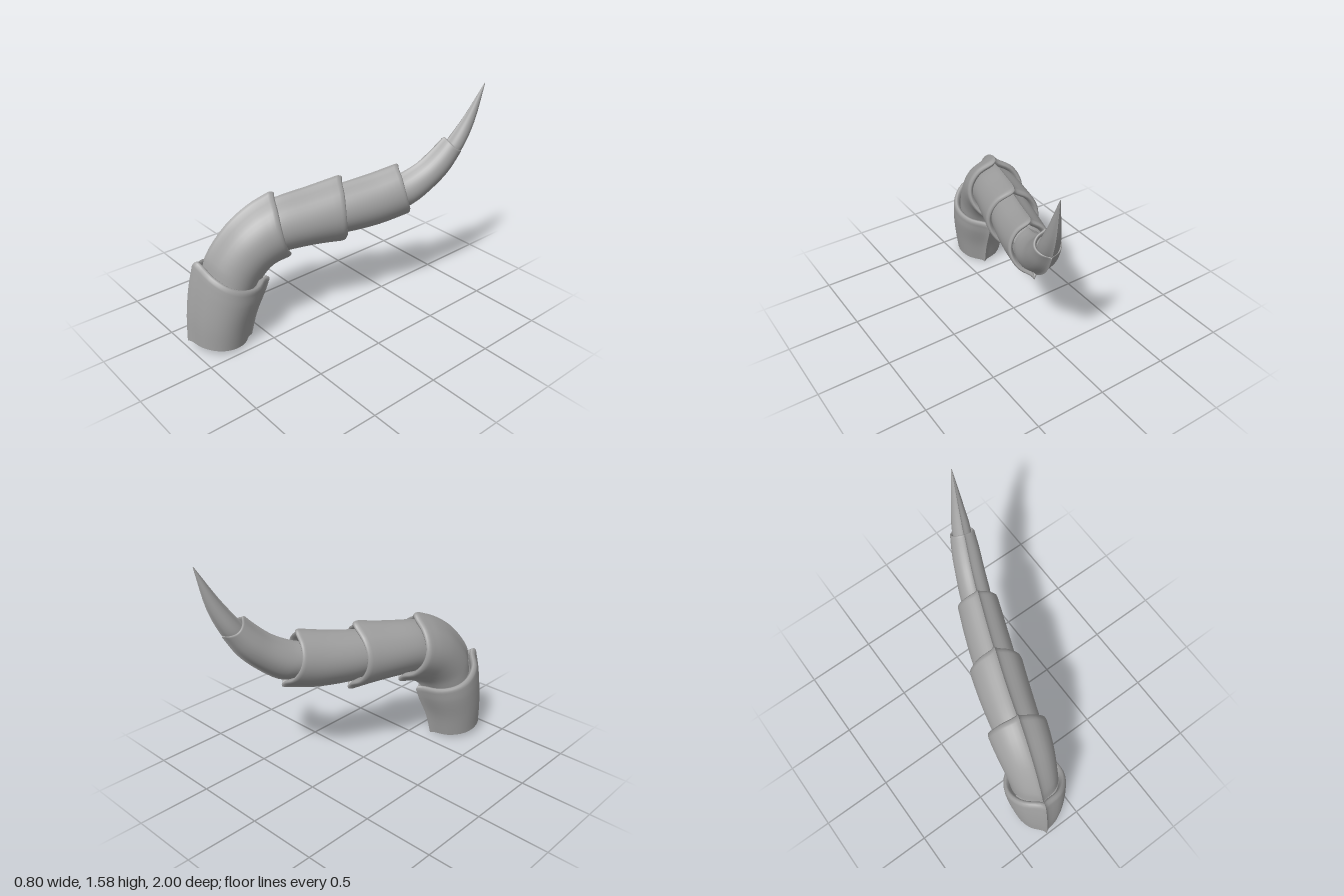
import * as THREE from 'three';

// Horizontal directions: the horn runs in a slanted vertical plane
const SLOPE = -0.355;
const LATERAL = new THREE.Vector3(0.942, 0, 0.335);

// Half cross-section (side, up): sharp keel at top and bottom, rounded flank
const flank = new THREE.SplineCurve([
  [0, 1], [0.13, 0.88], [0.6, 0.66], [0.9, 0.34], [1, 0],
  [0.9, -0.34], [0.6, -0.66], [0.13, -0.88], [0, -1],
].map(([s, u]) => new THREE.Vector2(s, u))).getPoints(24);
const otherFlank = flank.map((p) => new THREE.Vector2(-p.x, p.y)).reverse();

// Each ring: z and y of the upper keel, z and y of the lower keel, half width
const SEGMENTS = [
  { name: 'baseSegment', rings: [
    [1, 0.06, 0.59, 0, 0.165], [0.99, 0.25, 0.545, 0.17, 0.19],
    [0.96, 0.46, 0.48, 0.32, 0.21], [0.925, 0.61, 0.455, 0.385, 0.213]] },
  { name: 'bendSegment', rings: [
    [0.87, 0.55, 0.53, 0.36, 0.165], [0.84, 0.66, 0.47, 0.45, 0.17],
    [0.7, 0.85, 0.41, 0.495, 0.185], [0.55, 0.965, 0.36, 0.51, 0.195],
    [0.42, 1.025, 0.31, 0.52, 0.2]] },
  { name: 'middleSegment', rings: [
    [0.46, 0.95, 0.36, 0.57, 0.16], [0.38, 0.98, 0.28, 0.575, 0.165],
    [0.16, 1.02, 0.1, 0.575, 0.175], [-0.03, 1.06, -0.07, 0.565, 0.18]] },
  { name: 'upperSegment', rings: [
    [0.02, 0.99, 0, 0.63, 0.14], [-0.07, 1.005, -0.1, 0.625, 0.145],
    [-0.25, 1.04, -0.33, 0.645, 0.145], [-0.41, 1.08, -0.52, 0.69, 0.14]] },
  { name: 'neckSegment', rings: [
    [-0.38, 0.985, -0.46, 0.73, 0.1], [-0.46, 1.01, -0.56, 0.76, 0.105],
    [-0.58, 1.075, -0.7, 0.87, 0.1], [-0.67, 1.155, -0.8, 0.98, 0.095],
    [-0.735, 1.225, -0.875, 1.11, 0.083]] },
  { name: 'tipSpike', tip: true, rings: [
    [-0.72, 1.14, -0.85, 1.08, 0.06], [-0.77, 1.21, -0.89, 1.15, 0.062],
    [-0.87, 1.36, -0.95, 1.31, 0.04], [-0.995, 1.58, -1, 1.578, 0.002]] },
];

// Rounded lip that curls inwards: forward offset and scale
const LIP = [[0.05, 0.995], [0.11, 0.97], [0.14, 0.92], [0.12, 0.86], [0.04, 0.8], [-0.15, 0.72]];

// Frame of a ring from its keel points
function makeRing(top, bottom, bow, forward = 0, scale = 1) {
  const zc = (top.x + bottom.x) / 2;
  const dz = (top.x - bottom.x) / 2;
  const dy = (top.y - bottom.y) / 2;
  const half = Math.hypot(dz, dy);
  const xc = 0.015 + SLOPE * zc + (zc > 0 ? 0.1 : 0.03) * zc * zc;
  const up = new THREE.Vector3(SLOPE * dz, dy, dz);
  const ahead = new THREE.Vector3(-SLOPE * dy, dz, -dy);
  const centre = new THREE.Vector3(xc, (top.y + bottom.y) / 2, zc);
  return (p) => centre.clone()
    .addScaledVector(up, p.y * scale)
    .addScaledVector(LATERAL, p.x * top.z * scale)
    .addScaledVector(ahead, half > 0 ? forward - bow * (1 - p.y * p.y) : 0);
}

// Skin a list of rings; each flank has its own vertices so the keels stay sharp
function skin(rings) {
  const positions = [];
  const index = [];
  for (const side of [flank, otherFlank]) {
    const start = positions.length / 3;
    const n = side.length;
    rings.forEach((ring) => side.forEach((p) => positions.push(...ring(p).toArray())));
    for (let r = 0; r < rings.length - 1; r++) {
      for (let i = 0; i < n - 1; i++) {
        const a = start + r * n + i;
        index.push(a, a + 1, a + n, a + 1, a + n + 1, a + n);
      }
    }
  }
  const geometry = new THREE.BufferGeometry();
  geometry.setAttribute('position', new THREE.Float32BufferAttribute(positions, 3));
  geometry.setIndex(index);
  geometry.computeVertexNormals();
  return geometry;
}

export function createModel() {
  const model = new THREE.Group();
  model.name = 'segmentedHorn';
  const horn = new THREE.MeshStandardMaterial({ color: 0xa0a0a0, side: THREE.DoubleSide });
  horn.name = 'hornGrey';

  const add = (name, rings) => {
    const mesh = new THREE.Mesh(skin(rings), horn);
    mesh.name = name;
    model.add(mesh);
  };

  for (const { name, rings, tip } of SEGMENTS) {
    const tops = new THREE.CatmullRomCurve3(rings.map((r) => new THREE.Vector3(r[0], r[1], r[4])));
    const bottoms = new THREE.CatmullRomCurve3(rings.map((r) => new THREE.Vector3(r[2], r[3], 0)));
    const steps = (rings.length - 1) * 4;
    const list = [];
    for (let i = 0; i <= steps; i++) {
      const t = i / steps;
      list.push(makeRing(tops.getPoint(t), bottoms.getPoint(t), 0.18 * t));
    }
    if (!tip) {
      for (const [forward, scale] of LIP) {
        list.push(makeRing(tops.getPoint(1), bottoms.getPoint(1), 0.18, forward, scale));
      }
    }
    add(name, list);
  }

  // Flat cap under the base
  const [z1, y1, z2, y2, w] = SEGMENTS[0].rings[0];
  const top = new THREE.Vector3(z1, y1, w);
  const bottom = new THREE.Vector3(z2, y2, 0);
  add('baseCap', [makeRing(top, bottom, 0, 0, 0.001), makeRing(top, bottom, 0)]);

  return model;
}
